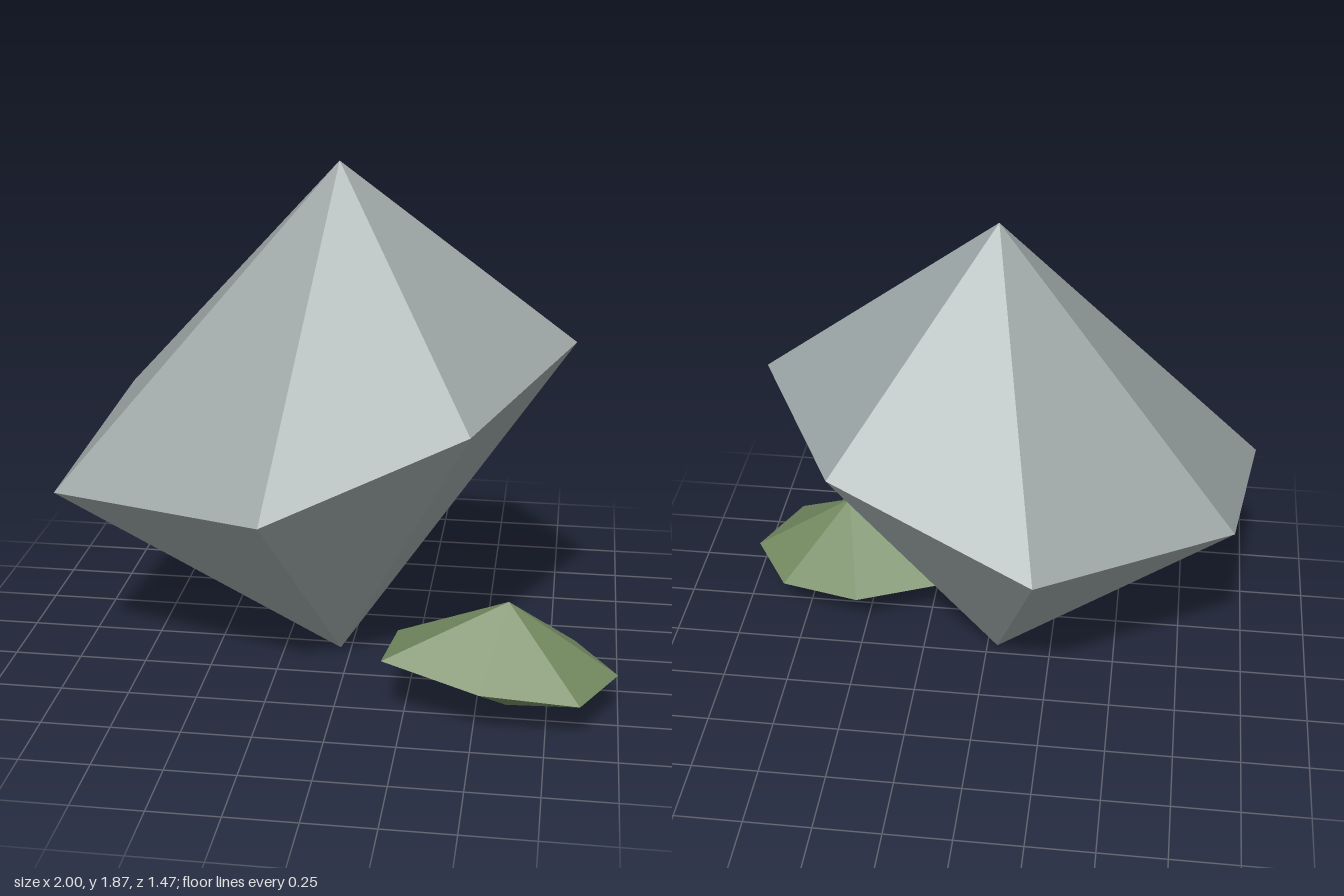
import * as THREE from 'three';

// Faceted stone: a tilted, uneven ring of corners joined to a top and a bottom point.
function bipyramid(name, material, top, bottom, ring) {
  const positions = [];
  ring.forEach((corner, i) => {
    const next = ring[(i + 1) % ring.length];
    positions.push(...next, ...corner, ...top);
    positions.push(...corner, ...next, ...bottom);
  });
  const geometry = new THREE.BufferGeometry();
  geometry.setAttribute('position', new THREE.Float32BufferAttribute(positions, 3));
  geometry.computeVertexNormals(); // unshared corners give flat facets
  const mesh = new THREE.Mesh(geometry, material);
  mesh.name = name;
  return mesh;
}

export function createModel() {
  const stoneGray = new THREE.MeshStandardMaterial({ color: 0x98a1a1 });
  stoneGray.name = 'stone gray';
  const mossGreen = new THREE.MeshStandardMaterial({ color: 0x748a61 });
  mossGreen.name = 'moss green';

  const model = new THREE.Group();
  model.name = 'rocks';

  // Large boulder
  model.add(bipyramid('boulder', stoneGray, [-0.04, 1.87, 0.045], [-0.04, 0, 0.045], [
    [0.8, 1.25, 0.045],
    [0.47, 1.08, 0.61],
    [-0.22, 0.77, 0.73],
    [-1, 0.745, 0.45],
    [-0.905, 0.91, -0.325],
    [-0.24, 0.935, -0.74],
    [0.48, 1.165, -0.53],
  ]));

  // Small mossy stone beside it
  model.add(bipyramid('mossyStone', mossGreen, [0.605, 0.405, 0.405], [0.605, 0, 0.405], [
    [0.995, 0.145, 0.405],
    [0.865, 0.155, 0.67],
    [0.525, 0.19, 0.7],
    [0.18, 0.25, 0.61],
    [0.195, 0.165, 0.2],
    [0.525, 0.17, 0.055],
    [0.84, 0.145, 0.155],
  ]));

  return model;
}
